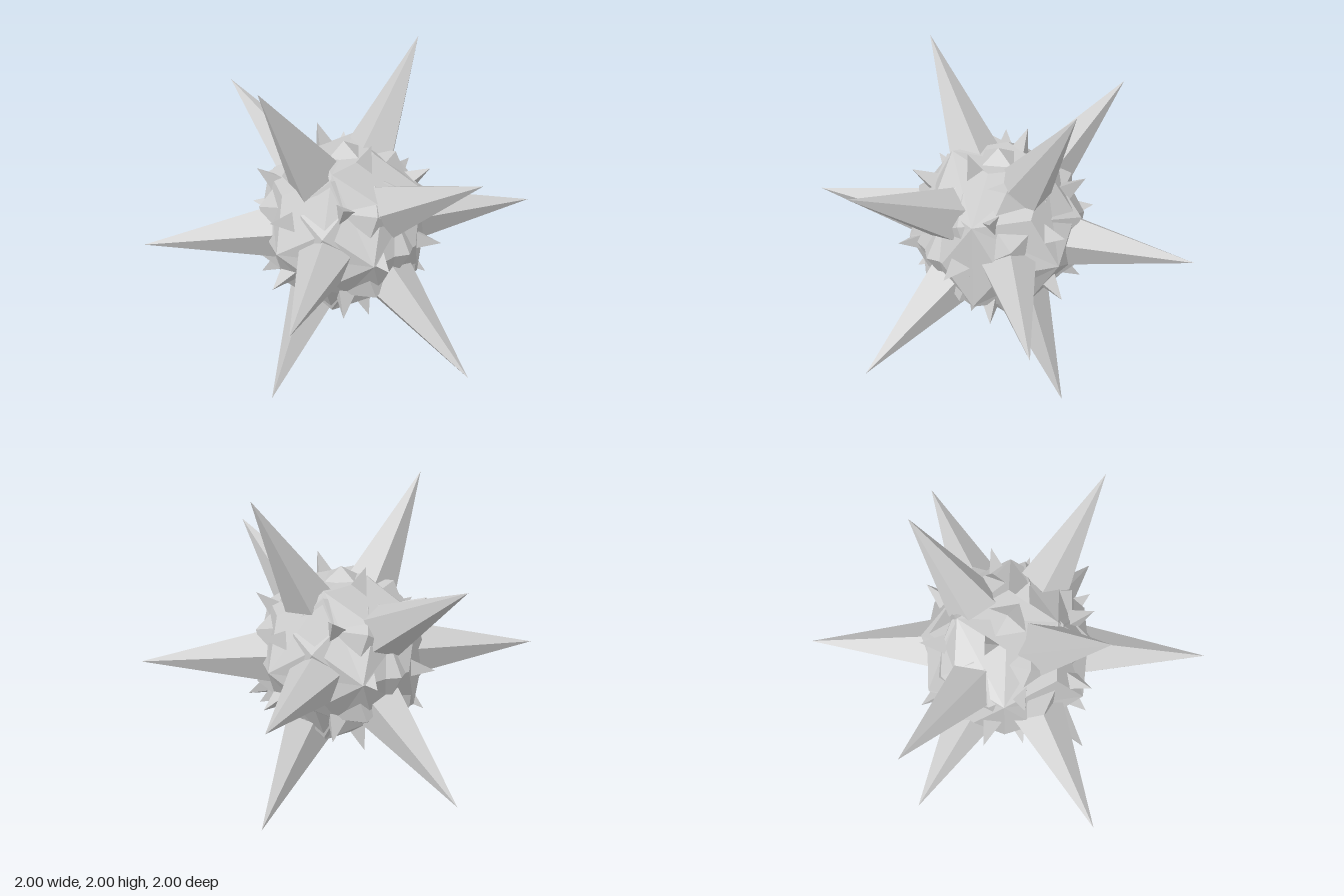
import * as THREE from 'three';

const PHI = (1 + Math.sqrt(5)) / 2;

// All signs and cyclic orders of (a, b, c), as unit directions without repeats
function directions(a, b, c) {
  const list = [];
  for (const sx of [1, -1]) for (const sy of [1, -1]) for (const sz of [1, -1]) {
    const p = [a * sx, b * sy, c * sz];
    for (let k = 0; k < 3; k++) {
      const v = new THREE.Vector3(p[k], p[(k + 1) % 3], p[(k + 2) % 3]).normalize();
      if (!list.some((u) => u.distanceTo(v) < 0.01)) list.push(v);
    }
  }
  return list;
}

const nearest = (dir, list) => list.reduce((best, v) => (v.dot(dir) > best.dot(dir) ? v : best));

// Twenty-sided ball with the middle of every face raised to a low point
function raisedBall(radius, faceRadius) {
  const corners = new THREE.IcosahedronGeometry(radius, 0).getAttribute('position');
  const points = [];
  for (let i = 0; i < corners.count; i += 3) {
    const face = [0, 1, 2].map((k) => new THREE.Vector3().fromBufferAttribute(corners, i + k));
    const middle = new THREE.Vector3().add(face[0]).add(face[1]).add(face[2]).setLength(faceRadius);
    for (let k = 0; k < 3; k++) points.push(face[k], face[(k + 1) % 3], middle);
  }
  const geometry = new THREE.BufferGeometry().setFromPoints(points);
  geometry.computeVertexNormals();
  return geometry;
}

export function createModel() {
  const model = new THREE.Group();
  model.name = 'spikedBall';
  const material = new THREE.MeshStandardMaterial({ color: 0xcccccc, flatShading: true });

  const fivefold = directions(PHI, 1, 0);
  const threefold = [...directions(1, 1, 1), ...directions(PHI, 0, 1 / PHI)];
  const twofold = [...directions(1, 0, 0), ...directions(PHI, 1, PHI * PHI)];

  // Pyramid spikes along each direction, one corner turned to the nearest guide
  function addSpikes(name, dirs, guides, sides, radius, start, tip) {
    const geometry = new THREE.ConeGeometry(radius, tip - start, sides, 1);
    geometry.translate(0, (start + tip) / 2, 0);
    const group = new THREE.Group();
    group.name = name + 's';
    for (const dir of dirs) {
      const z = nearest(dir, guides).clone().projectOnPlane(dir).normalize();
      const x = new THREE.Vector3().crossVectors(dir, z);
      const spike = new THREE.Mesh(geometry, material);
      spike.name = name;
      spike.quaternion.setFromRotationMatrix(new THREE.Matrix4().makeBasis(x, dir, z));
      group.add(spike);
    }
    group.position.y = 1;
    model.add(group);
  }

  // Core, turned against the spikes
  const coreGeometry = raisedBall(0.535, 0.5);
  coreGeometry.rotateY(Math.PI / 2 + Math.atan(1 / PHI));
  const core = new THREE.Mesh(coreGeometry, material);
  core.name = 'core';
  core.position.y = 1;
  model.add(core);

  // Long five-sided spikes, short three-sided thorns and low four-sided bumps
  addSpikes('longSpike', fivefold, twofold, 5, 0.19, 0.3, 1.1756);
  addSpikes('thorn', threefold, fivefold, 3, 0.085, 0.42, 0.615);
  addSpikes('bump', twofold, threefold, 4, 0.19, 0.42, 0.53);

  return model;
}
